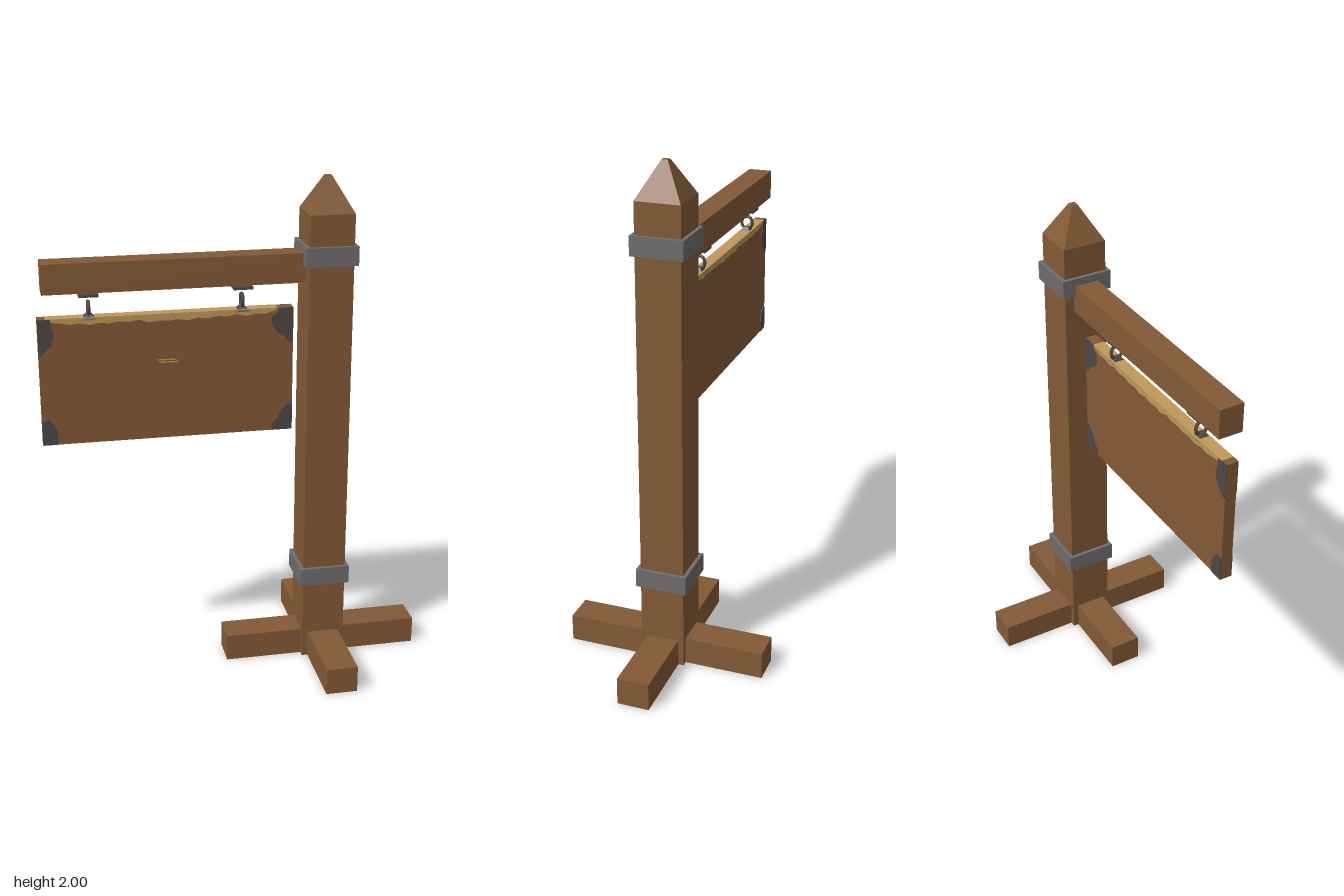
import * as THREE from 'three';

const mat = (name, color) => {
  const m = new THREE.MeshStandardMaterial({ color });
  m.name = name;
  return m;
};

export function createModel() {
  const wood = mat('brown wood', 0x83593a);
  wood.color.set(0x835a36);
  const iron = mat('grey iron', 0x706c6e);
  const darkIron = mat('dark iron', 0x4c4845);
  const bareWood = mat('chipped pale wood', 0xc09858);
  const model = new THREE.Group();
  model.name = 'hangingSignpost';

  const add = (name, geometry, material, x = 0, y = 0, z = 0) => {
    const mesh = new THREE.Mesh(geometry, material);
    mesh.name = name;
    mesh.position.set(x, y, z);
    model.add(mesh);
    return mesh;
  };
  const box = (name, material, w, h, d, x, y, z = 0) =>
    add(name, new THREE.BoxGeometry(w, h, d), material, x, y, z);
  // Square frustum given by its half widths
  const frustum = (name, material, top, bottom, h, x, y) => {
    const g = new THREE.CylinderGeometry(top * Math.SQRT2, bottom * Math.SQRT2, h, 4).toNonIndexed();
    g.rotateY(Math.PI / 4);
    g.computeVertexNormals();
    return add(name, g, material, x, y, 0);
  };
  // Flat outline extruded along z
  const slab = (name, material, points, depth, z) => {
    const shape = new THREE.Shape(points.map(([x, y]) => new THREE.Vector2(x, y)));
    return add(name, new THREE.ExtrudeGeometry(shape, { depth, bevelEnabled: false }), material, 0, 0, z - depth / 2);
  };

  // Post with pointed cap and iron bands
  const px = 0.353;
  box('post', wood, 0.175, 1.865, 0.175, px, 0.9325);
  frustum('postCap', wood, 0.012, 0.0875, 0.135, px, 1.9325);
  for (const [name, y] of [['lowerBand', 0.37], ['upperBand', 1.707]])
    box(name, iron, 0.204, 0.075, 0.204, px, y);

  // Crossed feet, the second a hair lower to keep the tops apart
  box('sideFoot', wood, 0.805, 0.11, 0.127, px, 0.055, -0.002);
  box('frontFoot', wood, 0.127, 0.109, 0.805, px, 0.0545);

  // Arm and board
  box('arm', wood, 1.02, 0.115, 0.095, -0.23, 1.6575, -0.002);
  const left = -0.76, right = 0.222, bottom = 1, top = 1.5, thick = 0.045;
  box('board', wood, right - left, top - bottom, thick, (left + right) / 2, 1.25, -0.002);

  // Worn upper edge, ragged below
  const chips = [0.012, 0.016, 0.024, 0.02, 0.028, 0.022, 0.026, 0.02, 0.024, 0.018, 0.03, 0.026,
    0.028, 0.024, 0.03, 0.022, 0.027, 0.02, 0.024, 0.016, 0.026, 0.018, 0.02, 0.01];
  const edge = chips.map((c, i) => [-0.715 + (0.865 * i) / (chips.length - 1), top - c]);
  slab('wornEdge', bareWood, [[-0.73, top + 0.001], ...edge, [0.16, top + 0.001]].reverse(), thick + 0.003, -0.002);

  // Small scratches on the front
  for (const [i, y] of [1.318, 1.308].entries())
    box('scratch', bareWood, 0.075, 0.005, 0.002, -0.275 + i * 0.008, y, thick / 2 - 0.002);

  // Irregular corner plates on both faces, measured inward from each corner
  const topLeft = [[0, 0], [0.05, 0], [0.05, 0.03], [0.062, 0.06], [0.05, 0.1], [0.03, 0.12], [0.012, 0.14], [0, 0.135]];
  const bottomLeft = [[0, 0], [0.058, 0], [0.058, 0.05], [0.045, 0.08], [0.025, 0.105], [0, 0.095]];
  const topRight = [[0, 0], [0.055, 0], [0.06, 0.018], [0.085, 0.035], [0.083, 0.07], [0.06, 0.1], [0.035, 0.115], [0.015, 0.14], [0, 0.135]];
  const bottomRight = [[0, 0], [0.082, 0], [0.082, 0.03], [0.06, 0.05], [0.04, 0.085], [0.02, 0.105], [0, 0.105]];
  const corners = [
    ['topRightCorner', topLeft, left, top, 1, -1], ['bottomRightCorner', bottomLeft, left, bottom, 1, 1],
    ['topLeftCorner', topRight, right, top, -1, -1], ['bottomLeftCorner', bottomRight, right, bottom, -1, 1],
  ];
  for (const [name, pts, cx, cy, sx, sy] of corners)
    for (const side of [-1, 1])
      slab(name, darkIron, pts.map(([x, y]) => [cx + sx * x, cy + sy * y]), 0.004, -0.002 + side * thick / 2);

  // Hangers: plate under the arm, ring and foot on the board
  for (const x of [-0.565, 0.023]) {
    box('hangerPlate', darkIron, 0.075, 0.01, 0.075, x, 1.586, -0.002);
    const ring = add('hangerRing', new THREE.TorusGeometry(0.026, 0.007, 6, 16), darkIron, x, 1.532, -0.002);
    ring.rotation.y = Math.PI / 2;
    ring.scale.set(0.9, 1, 1);
    frustum('hangerFoot', darkIron, 0.008, 0.027, 0.022, x, 1.503);
  }
  return model;
}
